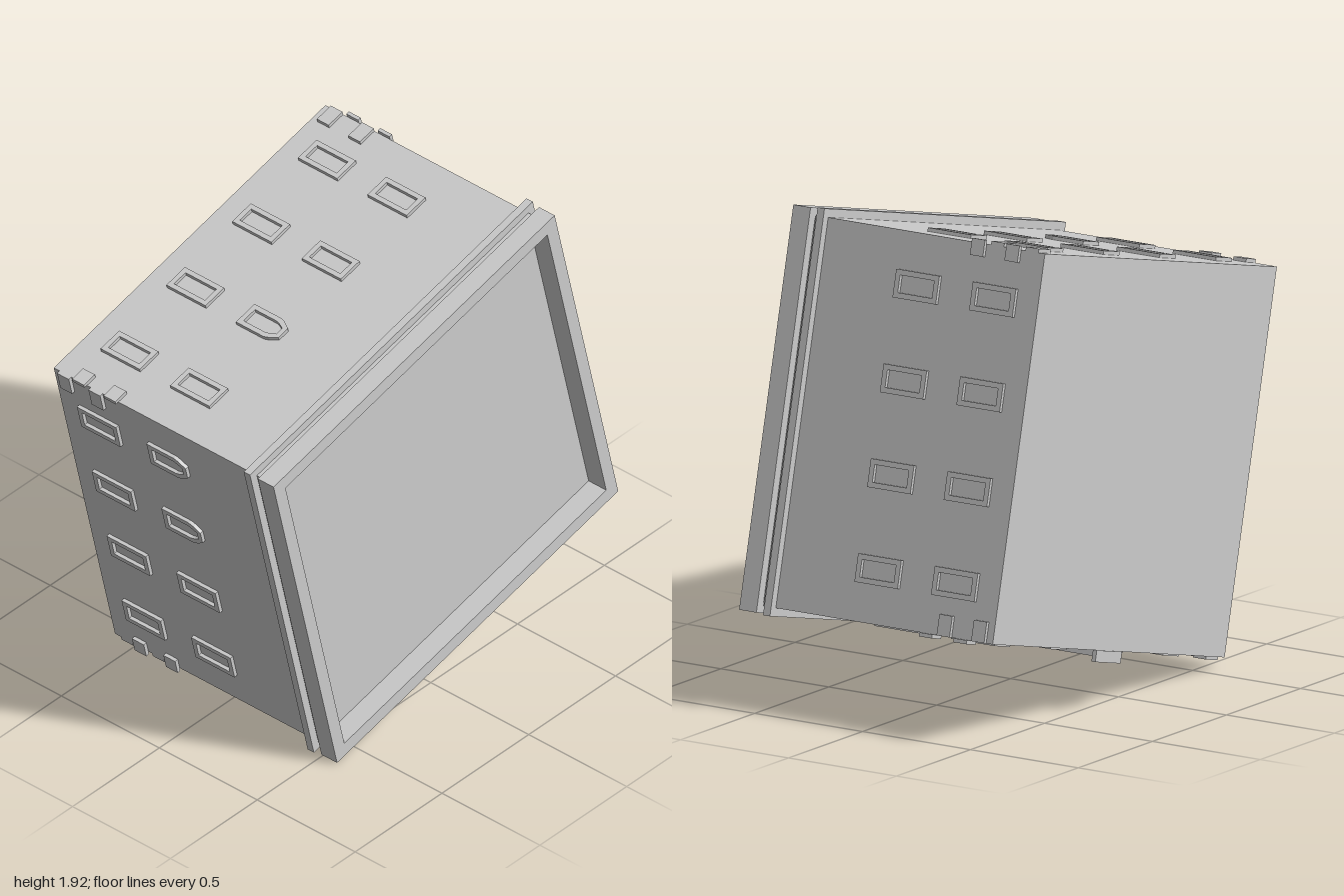
import * as THREE from 'three';

const W = 1.61, H = 1.508;        // body section
const BACK = -0.575, ROOF = 0.487; // body ends along z
const RELIEF = 0.015;             // how far trim stands off the walls

export function createModel() {
  const mat = new THREE.MeshStandardMaterial({ color: 0xcccccc, flatShading: true });
  const model = new THREE.Group();
  model.name = 'building';

  const add = (parent, name, geo, x = 0, y = 0, z = 0) => {
    const m = new THREE.Mesh(geo, mat);
    m.name = name;
    m.position.set(x, y, z);
    parent.add(m);
    return m;
  };

  const rectPoints = (w, h) => [[-w, -h], [w, -h], [w, h], [-w, h]]
    .map(([x, y]) => new THREE.Vector2(x / 2, y / 2));

  // Outline with a faceted pointed-round head
  const archPoints = (w, h) => [[-0.5, -0.5], [0.5, -0.5], [0.5, 0.2], [0.43, 0.31], [0.25, 0.47],
    [-0.25, 0.47], [-0.43, 0.31], [-0.5, 0.2]].map(([x, y]) => new THREE.Vector2(x * w, y * h));

  const frameGeo = (outer, inner, depth) => {
    const shape = new THREE.Shape(outer);
    shape.holes.push(new THREE.Path(inner));
    return new THREE.ExtrudeGeometry(shape, { depth, bevelEnabled: false });
  };

  // Frame lying on a wall: shape y runs along z, depth points outward (+y)
  const wallFrame = (points, w, h, t, depth) =>
    frameGeo(points(w, h), points(w - 2 * t, h - 2 * t), depth)
      .rotateX(Math.PI / 2).translate(0, depth, 0);

  // Main block
  add(model, 'body', new THREE.BoxGeometry(W, H, ROOF - BACK), 0, 0, (ROOF + BACK) / 2);

  // Cornice band, recessed neck and parapet around the roof
  const ring = (name, grow, z0, z1) => add(model, name,
    frameGeo(rectPoints(W + 2 * grow, H + 2 * grow), rectPoints(W - 0.058, H - 0.06), z1 - z0), 0, 0, z0);
  ring('cornice', 0.033, 0.43, 0.462);
  ring('neck', -0.012, ROOF - 0.005, 0.5);
  ring('parapet', 0.028, 0.497, 0.577);

  // Four walls, clockwise from the top; arched lists columns with an arched front-row window
  const walls = [
    { name: 'topWall', width: W, out: H / 2, pitch: 0.39, arched: [1] },
    { name: 'rightWall', width: H, out: W / 2, pitch: 0.366, arched: [] },
    { name: 'entranceWall', width: W, out: H / 2, pitch: 0.39, arched: [1] },
    { name: 'leftWall', width: H, out: W / 2, pitch: 0.366, arched: [2, 3] },
  ];
  walls.forEach(({ name, width, out, pitch, arched }, i) => {
    const wall = new THREE.Group();
    wall.name = name;
    wall.rotation.z = -i * Math.PI / 2;
    model.add(wall);

    // Two rows of four window frames
    for (let c = 0; c < 4; c++) {
      const x = (c - 1.5) * pitch;
      const head = arched.includes(c) ? archPoints : rectPoints;
      add(wall, 'windowFrame', wallFrame(rectPoints, 0.11, 0.2, 0.021, RELIEF), x, out, -0.375);
      add(wall, 'windowFrame', wallFrame(head, 0.11, 0.2, 0.021, RELIEF), x, out, -0.02);
    }

    // Corner stones, alternating between neighbouring walls
    for (let k = 0; k < 2; k++) {
      const z = -0.515 + 0.16 * k;
      add(wall, 'cornerStone', new THREE.BoxGeometry(0.082, RELIEF, 0.06),
        width / 2 - 0.041, out + RELIEF / 2, z);
      add(wall, 'cornerStone', new THREE.BoxGeometry(0.065, RELIEF, 0.06),
        -width / 2 - RELIEF + 0.0325, out + RELIEF / 2, z + 0.08);
    }

    // Arched door with a doorstep at the foot of one wall
    if (name === 'entranceWall') {
      add(wall, 'doorFrame', wallFrame(archPoints, 0.13, 0.245, 0.022, 0.025), 0, out, -0.45);
      add(wall, 'doorstep', new THREE.BoxGeometry(0.175, 0.045, 0.018), 0, out + 0.0225, -0.57);
    }
  });

  // The block lies on its back wall axis, tipped onto one edge
  model.rotation.z = THREE.MathUtils.degToRad(13.54);
  model.position.y = 0.965;
  const root = new THREE.Group();
  root.name = 'tiltedBuilding';
  root.add(model);
  return root;
}
